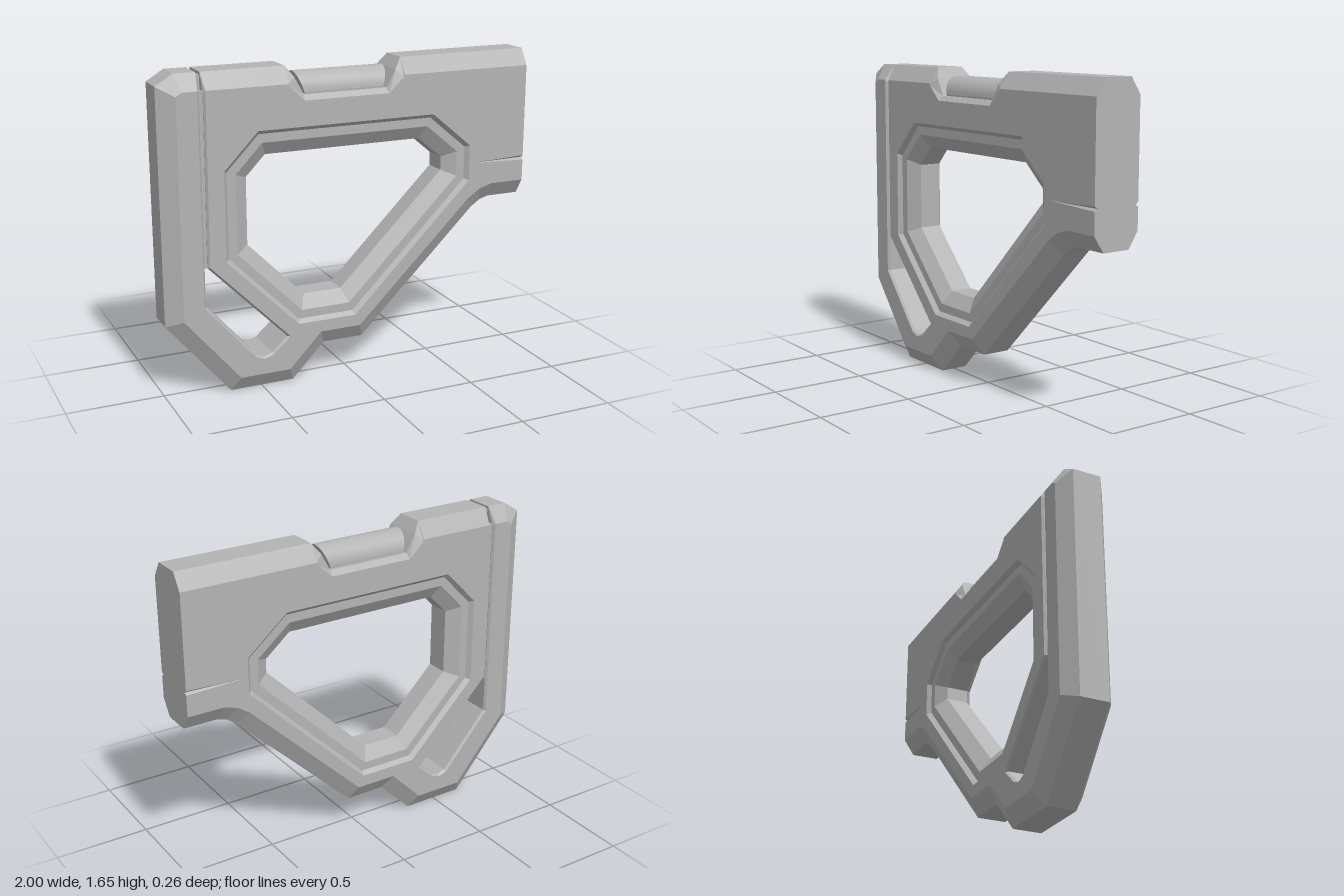
import * as THREE from 'three';

const grey = new THREE.MeshStandardMaterial({ color: 0xb4b4b4 });
grey.name = 'grey';
const D = 0.13; // half thickness

// Silhouette, counter-clockwise
const silhouette = [
  [-1, 1.6], [-1, 0.4], [-0.667, 0], [-0.325, 0], [-0.15, 0.18], [0.07, 0.18],
  [0.72, 0.815], [0.77, 0.85], [0.82, 0.865], [1, 0.865], [1, 1.655], [-0.91, 1.655],
];

// Gap behind the butt and the sling slot below it, clockwise
const slot = [
  [-0.78, 1.56], [-0.785, 0.69], [-0.37, 0.265], [-0.455, 0.19],
  [-0.5, 0.175], [-0.54, 0.19], [-0.8, 0.49], [-0.8, 1.56],
];

// Grip opening, clockwise
const opening = [
  [-0.69, 0.71], [-0.69, 1.17], [-0.51, 1.355], [0.45, 1.355],
  [0.67, 1.17], [0.67, 0.98], [0.01, 0.325], [-0.31, 0.325],
];

// Moves every edge of a loop to its right by d
function inset(loop, d, z) {
  const n = loop.length;
  const normal = (a, b) => new THREE.Vector2(b[1] - a[1], a[0] - b[0]).normalize();
  return loop.map((p, i) => {
    const n1 = normal(loop[(i + n - 1) % n], p);
    const n2 = normal(p, loop[(i + 1) % n]);
    const k = d / (1 + n1.dot(n2));
    return [p[0] + (n1.x + n2.x) * k, p[1] + (n1.y + n2.y) * k, z];
  });
}

// Outline rows: rim x, y, z and front edge x, y. The flat end at x = 1 has no bevel.
function bevelRows(loop, width, rimZ) {
  const front = inset(loop, -width, D);
  return loop.map(([x, y], i) => [x, y, rimZ, x === 1 ? 1 : front[i][0], front[i][1]]);
}

function outlineRows() {
  const outer = bevelRows(silhouette, 0.083, 0.075);
  const seam = [[1, 1.072, 0.115, 1, 1.06], [0.68, 1.072, 0.129, 0.68, 1.072], [1, 1.072, 0.115, 1, 1.084]];
  const recess = [
    [0.28, 1.655, 0.075, 0.28, 1.572],
    [0.24, 1.6, 0.105, 0.275, 1.56],
    [0.19, 1.51, 0.105, 0.195, 1.485],
  ];
  const mirrored = recess.map(([x, y, z, fx, fy]) => [-0.07 - x, y, z, -0.07 - fx, fy]).reverse();
  return [
    ...outer.slice(0, 10), ...seam, outer[10], ...recess, ...mirrored,
    [-0.78, 1.655, 0.075, -0.77, 1.572], ...bevelRows(slot, 0.01, 0.118), [-0.8, 1.655, 0.075, -0.81, 1.572],
    outer[11],
  ];
}

const flip = (ring) => ring.map(([x, y, z]) => [x, y, -z]);

// Skins a list of loops ordered from front to middle, then mirrors it to the back
function loft(out, frontRings) {
  const rings = [...frontRings, ...frontRings.map(flip).reverse()];
  for (let r = 0; r + 1 < rings.length; r++) {
    const f = rings[r], b = rings[r + 1], n = f.length;
    for (let i = 0; i < n; i++) {
      const j = (i + 1) % n;
      out.push(...b[i], ...b[j], ...f[j], ...b[i], ...f[j], ...f[i]);
    }
  }
}

// Fills the front and back faces between the outline and the opening
function faces(out, outer, hole) {
  const v = (p) => new THREE.Vector2(p[0], p[1]);
  const all = [...outer, ...hole];
  for (const t of THREE.ShapeUtils.triangulateShape(outer.map(v), [hole.map(v)])) {
    let [a, b, c] = t.map((i) => all[i]);
    const area = (b[0] - a[0]) * (c[1] - a[1]) - (b[1] - a[1]) * (c[0] - a[0]);
    if (area < 0) [b, c] = [c, b];
    out.push(...a, ...b, ...c, ...flip([a, c, b]).flat());
  }
}

export function createModel() {
  const model = new THREE.Group();
  model.name = 'stock';
  const add = (name, geometry) => {
    const mesh = new THREE.Mesh(geometry, grey);
    mesh.name = name;
    model.add(mesh);
    return mesh;
  };

  // Bevelled body with the stepped grip opening
  const rows = outlineRows();
  const front = rows.map((r) => [r[3], r[4], D]);
  const rim = rows.map((r) => r.slice(0, 3));
  const hole = [[0, D], [0.02, 0.108], [0.065, 0.108], [0.135, 0.06]].map(([d, z]) => inset(opening, d, z));
  const points = [];
  loft(points, [front, rim]);
  loft(points, hole);
  faces(points, front, hole[0]);
  const body = new THREE.BufferGeometry();
  body.setAttribute('position', new THREE.Float32BufferAttribute(points, 3));
  body.computeVertexNormals();
  add('body', body);

  // Strips closing the gap between butt and body
  add('gapFiller', new THREE.BoxGeometry(0.04, 0.88, 0.23)).position.set(-0.79, 1.13, 0);
  add('gapFillerTop', new THREE.BoxGeometry(0.04, 0.08, 0.14)).position.set(-0.79, 1.6, 0);

  // Roller in the top recess, with ends leaning outward
  const roller = new THREE.CylinderGeometry(0.09, 0.09, 2, 32);
  roller.rotateZ(Math.PI / 2);
  const pos = roller.attributes.position;
  for (let i = 0; i < pos.count; i++) {
    const y = pos.getY(i) * 1.08;
    pos.setXYZ(i, Math.sign(pos.getX(i)) * (0.215 + y * 0.32), y, pos.getZ(i));
  }
  roller.computeVertexNormals();
  add('roller', roller).position.set(-0.035, 1.517, 0);

  return model;
}
